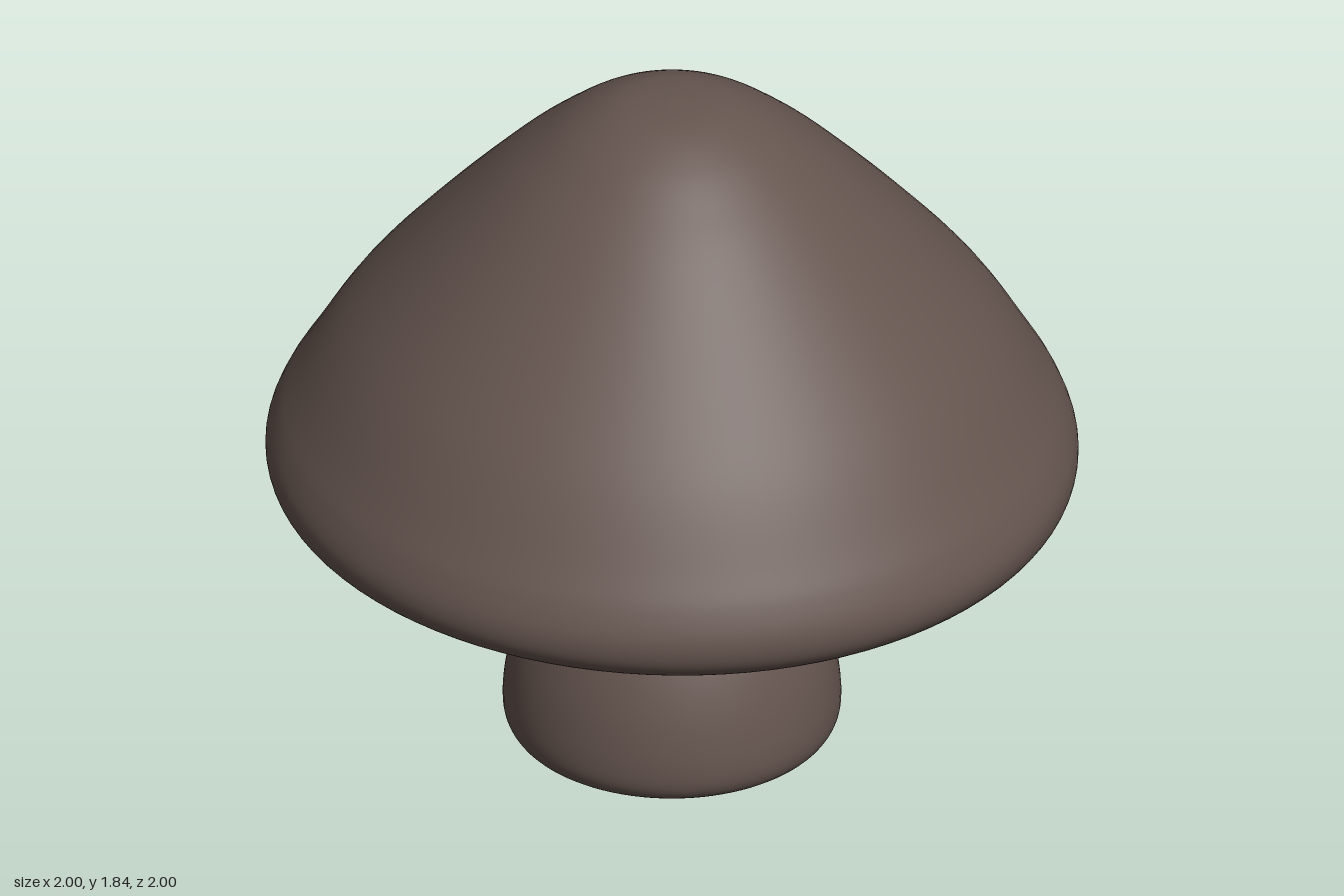
import * as THREE from 'three';

// Smooth turned form through a few profile points, listed from bottom to top
function turned(points, name, material) {
  const curve = new THREE.SplineCurve(points.map(([r, y]) => new THREE.Vector2(r, y)));
  const profile = curve.getPoints(points.length * 5);
  profile.forEach((p) => { p.x = Math.max(p.x, 0); p.y = Math.max(p.y, 0); });
  profile[0].x = profile[profile.length - 1].x = 0;
  const mesh = new THREE.Mesh(new THREE.LatheGeometry(profile, 96), material);
  mesh.name = name;
  return mesh;
}

export function createModel() {
  const group = new THREE.Group();
  group.name = 'mushroom';
  const brown = new THREE.MeshStandardMaterial({ color: 0x65554f });
  brown.name = 'earthy brown';

  // Cap: shallow hollow underside, rounded rim, soft bell-shaped top
  const cap = turned([
    [0, 0.76], [0.25, 0.76], [0.42, 0.75], [0.6, 0.73], [0.78, 0.72],
    [0.88, 0.725], [0.95, 0.755], [0.99, 0.8], [0.998, 0.86], [0.975, 0.93],
    [0.93, 1.01], [0.81, 1.2], [0.64, 1.4], [0.45, 1.6], [0.34, 1.7],
    [0.24, 1.775], [0.13, 1.825], [0, 1.84],
  ], 'cap', brown);

  // The rim sits slightly lower toward the front left
  const pos = cap.geometry.attributes.position;
  for (let i = 0; i < pos.count; i++) {
    const x = pos.getX(i), y = pos.getY(i), z = pos.getZ(i);
    const low = THREE.MathUtils.clamp((1 - y) / 0.25, 0, 1);
    pos.setY(i, y - 0.011 * low * (x + z));
  }
  group.add(cap);

  // Stem: bulging foot, narrow neck, flare into the cap
  group.add(turned([
    [0, 0.003], [0.15, 0.005], [0.25, 0.02], [0.36, 0.05], [0.405, 0.085],
    [0.416, 0.15], [0.402, 0.26], [0.373, 0.36], [0.33, 0.46], [0.293, 0.55],
    [0.28, 0.63], [0.298, 0.705], [0.36, 0.742], [0.44, 0.757], [0.3, 0.79], [0, 0.79],
  ], 'stem', brown));

  return group;
}
